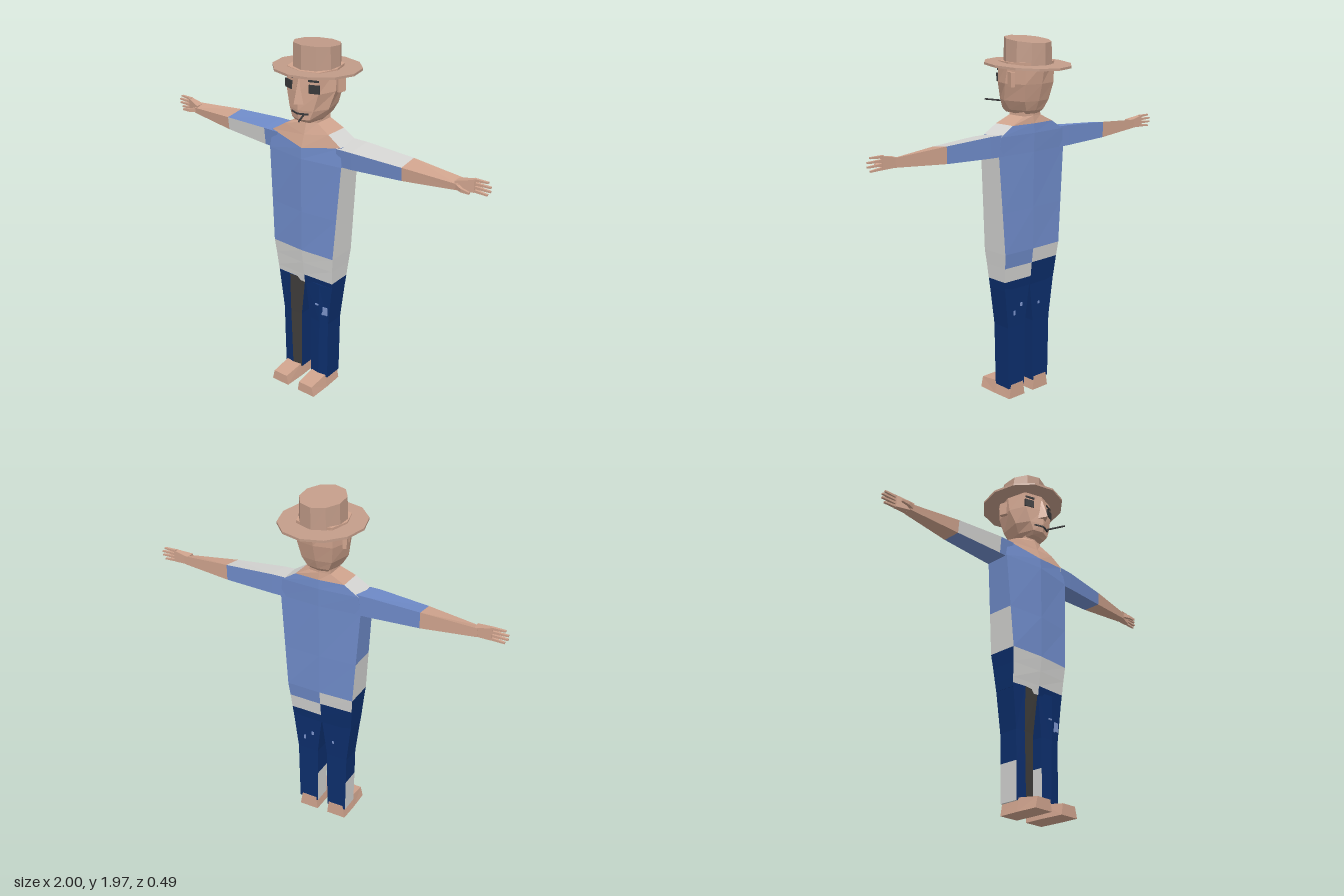
import * as THREE from 'three';

const mat = (name, color) => Object.assign(new THREE.MeshStandardMaterial({ color }), { name });

export function createModel() {
  const M = {
    skin: mat('skin', 0xcfa38d), hat: mat('felt', 0xc29c89), blue: mat('shirtBlue', 0x6f8bc9),
    white: mat('shirtWhite', 0xd4d4d2), navy: mat('denim', 0x0c2e6c), grey: mat('darkDenim', 0x3f3d3b),
    dark: mat('ink', 0x38383a), fade: mat('fadedDenim', 0x7d95cc),
  };
  const model = new THREE.Group();
  const body = new THREE.Group();
  body.name = 'body';
  body.position.x = -0.008;
  model.add(body);

  // Flat-faced skin through rings of points; rule(row, side) names the colour.
  function loft(name, rings, rule, parent = body) {
    const n = rings[0].length, tris = [];
    const quad = (a, b, c, d, k) => tris.push([k, a, b, c], [k, a, c, d]);
    for (let i = 0; i < rings.length - 1; i++)
      for (let j = 0; j < n; j++) {
        const k = (j + 1) % n;
        quad(rings[i][j], rings[i][k], rings[i + 1][k], rings[i + 1][j], rule(i, j));
      }
    const last = rings.length - 1;
    for (let j = 1; j < n - 1; j++) {
      tris.push([rule(0, 0), rings[0][0], rings[0][j + 1], rings[0][j]]);
      tris.push([rule(last - 1, 0), rings[last][0], rings[last][j], rings[last][j + 1]]);
    }
    // Turn every face outward, whichever way the rings run
    let volume = 0;
    const v = (p) => new THREE.Vector3(...p);
    for (const [, a, b, c] of tris) volume += v(a).dot(v(b).cross(v(c)));
    const keys = [...new Set(tris.map((t) => t[0]))], pos = [];
    const g = new THREE.BufferGeometry();
    keys.forEach((key, m) => {
      const start = pos.length / 3;
      for (const [k, a, b, c] of tris)
        if (k === key) pos.push(...a, ...(volume < 0 ? c : b), ...(volume < 0 ? b : c));
      g.addGroup(start, pos.length / 3 - start, m);
    });
    g.setAttribute('position', new THREE.Float32BufferAttribute(pos, 3));
    g.computeVertexNormals();
    const mesh = new THREE.Mesh(g, keys.map((k) => M[k]));
    mesh.name = name;
    parent.add(mesh);
    return mesh;
  }
  function box(name, key, size, at, yaw = 0) {
    const m = new THREE.Mesh(new THREE.BoxGeometry(...size), M[key]);
    m.name = name;
    m.position.set(...at);
    m.rotation.y = yaw;
    body.add(m);
    return m;
  }

  // Torso and neck: [y, half width, side front z, side back z, mid front z, mid back z, mid front y]
  const torso = [
    [0.64, 0.18, 0.10, -0.02, 0.105, -0.025],
    [0.69, 0.184, 0.105, -0.026, 0.111, -0.031],
    [0.77, 0.19, 0.112, -0.035, 0.122, -0.04],
    [0.85, 0.197, 0.12, -0.045, 0.132, -0.05],
    [1.08, 0.212, 0.111, -0.043, 0.132, -0.052],
    [1.38, 0.232, 0.10, -0.04, 0.132, -0.055],
    [1.48, 0.22, 0.09, -0.045, 0.128, -0.058, 1.44],
    [1.53, 0.14, 0.085, -0.045, 0.105, -0.055, 1.505],
    [1.57, 0.06, 0.07, -0.04, 0.085, -0.05],
    [1.62, 0.055, 0.065, -0.04, 0.08, -0.05],
  ].map(([y, w, f, b, fc, bc, yc = y]) =>
    [[w, y, f], [w, y, b], [0, y, bc], [-w, y, b], [-w, y, f], [0, yc, fc]]);
  const torsoColour = [
    ['navy', 'navy', 'navy', 'navy', 'white', 'navy'],
    ['white', 'white', 'navy', 'navy', 'white', 'white'],
    ['white', 'blue', 'white', 'navy', 'white', 'white'],
    ['white', 'blue', 'blue', 'white', 'blue', 'blue'],
    ['white', 'blue', 'blue', 'blue', 'blue', 'blue'],
    ['blue', 'blue', 'blue', 'blue', 'blue', 'blue'],
    ['white', 'blue', 'blue', 'white', 'skin', 'skin'],
  ];
  loft('torso', torso, (i, j) => (torsoColour[i] ? torsoColour[i][j] : 'skin'));

  for (const s of [1, -1]) {
    const side = s > 0 ? 'left' : 'right';

    // Leg: [y, inner x, outer x, crease x, front z, back z]
    const leg = [
      [0.66, 0, 0.181, 0.1, 0.102, -0.022],
      [0.42, 0.03, 0.153, 0.1, 0.097, -0.015],
      [0.26, 0.031, 0.151, 0.095, 0.097, -0.014],
      [0.06, 0.032, 0.148, 0.09, 0.096, -0.013],
    ].map(([y, a, b, c, f, k]) =>
      [[b, y, f], [b, y, k], [a, y, k], [a, y, f], [c, y, f + 0.008]].map(([x, ...p]) => [s * x, ...p]));
    loft(side + 'Leg', leg, (i, j) => {
      if (s < 0 && j === 3) return 'grey';
      if (i === 2 && j === (s > 0 ? 2 : 0)) return 'white';
      return 'navy';
    });

    // Shoe: [z, inner x, outer x, top y]
    loft(side + 'Shoe', [[-0.015, 0.032, 0.146, 0.08], [0.1, 0.03, 0.15, 0.074], [0.222, 0.035, 0.148, 0.058]]
      .map(([z, a, b, t]) => [[s * a, 0, z], [s * b, 0, z], [s * (b - 0.014), t, z], [s * (a + 0.01), t, z]]),
      () => 'skin');

    // Arm: [x, top y, bottom y, back z, front z]
    const arm = [
      [0.19, 1.49, 1.378, -0.042, 0.1],
      [0.28, 1.49, 1.38, -0.042, 0.098],
      [0.56, 1.477, 1.39, -0.038, 0.072],
      [0.85, 1.457, 1.41, -0.02, 0.035],
    ].map(([x, t, b, k, f]) => [[t, k], [t - 0.015, f], [b, f * 0.9], [b, k]].map(([y, z]) => [s * x, y, z]));
    loft(side + 'Arm', arm, (i, j) => {
      if (i === 2) return 'skin';
      if (s > 0) return j === 0 ? 'white' : 'blue';
      return j === 1 && i === 1 ? 'white' : 'blue';
    }, model);

    // Hand: palm, four spread fingers and a forward thumb
    const bar = (name, stations) => loft(name, stations.map(([x, y, z, h, d]) =>
      [[h, -d], [h, d], [-h, d], [-h, -d]].map(([dy, dz]) => [s * x, y + dy, z + dz])), () => 'skin', model);
    bar(side + 'Palm', [[0.83, 1.433, 0.008, 0.022, 0.026], [0.92, 1.441, -0.006, 0.033, 0.011]]);
    for (let f = 0; f < 4; f++) {
      const y = 1.415 + f * 0.018;
      bar(side + 'Finger', [[0.91, y, -0.006, 0.007, 0.008],
        [(f % 3 ? 1 : 0.985), 1.409 + f * 0.021, -0.008, 0.004, 0.006]]);
    }
    bar(side + 'Thumb', [[0.84, 1.43, 0.028, 0.012, 0.012], [0.875, 1.425, 0.046, 0.009, 0.008],
      [0.92, 1.422, 0.05, 0.005, 0.006]]);

    // Face details on the angled front planes
    box(side + 'Eye', 'dark', [0.056, 0.044, 0.009], [s * 0.08, 1.765, 0.122], s * 0.34);
    box(side + 'Brow', 'dark', [0.055, 0.01, 0.009], [s * 0.075, 1.806, 0.121], s * 0.32);
    box(side + 'Mouth', 'dark', [0.054, 0.008, 0.009], [s * 0.026, 1.633, 0.144], s * 0.37);
    box(side + 'Ear', 'skin', [0.022, 0.075, 0.045], [s * 0.133, 1.765, -0.025], s * -0.3);
  }

  // Head: [y, front z, cheek x, z, side x, z, rear x, z, back z]
  loft('head', [
    [1.58, 0.12, 0.045, 0.115, 0.06, 0.03, 0.045, -0.04, -0.05],
    [1.60, 0.147, 0.055, 0.13, 0.085, 0.04, 0.06, -0.06, -0.068],
    [1.65, 0.155, 0.075, 0.125, 0.115, 0.05, 0.085, -0.075, -0.09],
    [1.74, 0.15, 0.1, 0.115, 0.135, 0.02, 0.1, -0.095, -0.115],
    [1.85, 0.14, 0.1, 0.11, 0.13, 0, 0.1, -0.1, -0.135],
  ].map(([y, f, cx, cz, sx, sz, rx, rz, b]) => [[0, y, f], [cx, y, cz], [sx, y, sz], [rx, y, rz],
    [0, y, b], [-rx, y, rz], [-sx, y, sz], [-cx, y, cz]]), () => 'skin');
  loft('nose', [
    [[-0.032, 1.682, 0.138], [0.032, 1.682, 0.138], [0, 1.688, 0.186]],
    [[-0.012, 1.80, 0.135], [0.012, 1.80, 0.135], [0, 1.81, 0.147]],
  ], () => 'skin');

  // Cigarette
  const from = new THREE.Vector3(0.03, 1.632, 0.14), to = new THREE.Vector3(0.078, 1.636, 0.243);
  const cig = new THREE.Mesh(new THREE.CylinderGeometry(0.005, 0.005, from.distanceTo(to), 6), M.dark);
  cig.name = 'cigarette';
  cig.position.copy(from).lerp(to, 0.5);
  cig.quaternion.setFromUnitVectors(new THREE.Vector3(0, 1, 0), to.clone().sub(from).normalize());
  body.add(cig);

  // Hat: ten-sided crown with a sloping top on a twelve-sided brim
  const ring = (n, rx, rz, y, slope, cz) => Array.from({ length: n }, (_, i) => {
    const a = (i / n) * Math.PI * 2, z = cz + rz * Math.cos(a);
    return [rx * Math.sin(a), y + slope * z, z];
  });
  loft('hatBrim', [ring(12, 0.226, 0.235, 1.829, 0.055, -0.008), ring(12, 0.226, 0.235, 1.841, 0.055, -0.008)],
    () => 'hat');
  loft('hatCrown', [ring(10, 0.122, 0.13, 1.83, 0.055, -0.006), ring(10, 0.118, 0.13, 1.961, 0.11, -0.006)],
    () => 'hat');

  // Worn patches on the trousers
  for (const [x, y, z, w, h] of [[0.136, 0.5, 0.1, 0.03, 0.05], [0.12, 0.48, 0.1, 0.012, 0.02],
    [0.085, 0.53, 0.108, 0.02, 0.008], [0.06, 0.54, -0.019, 0.014, 0.02], [0.11, 0.5, -0.018, 0.01, 0.025],
    [-0.07, 0.52, -0.018, 0.012, 0.014]])
    box('wornPatch', 'fade', [w, h, 0.008], [x, y, z]);

  return model;
}
